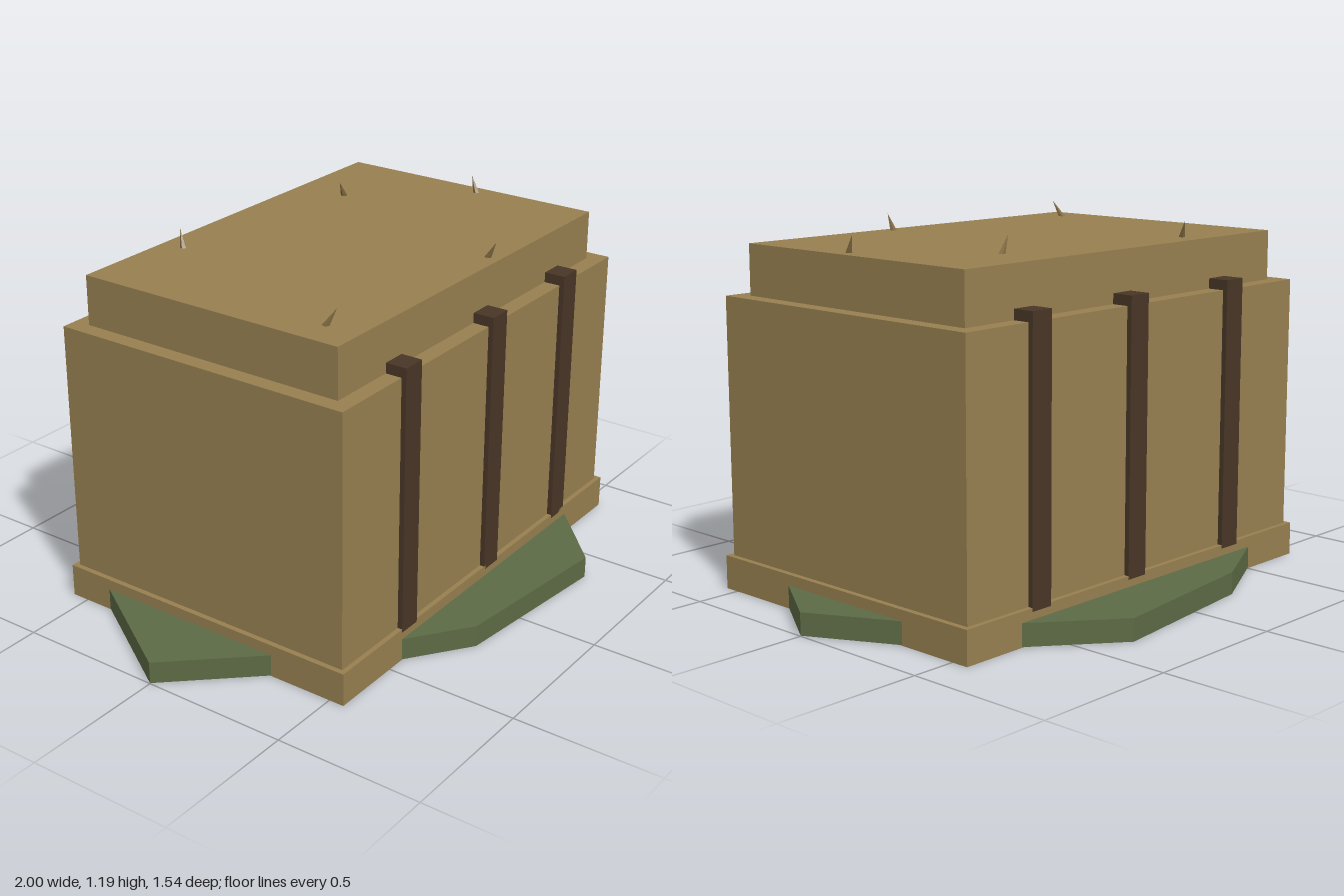
import * as THREE from 'three';

export function createModel() {
  const model = new THREE.Group();
  model.name = 'strappedBlock';

  const mat = (name, color) => {
    const m = new THREE.MeshStandardMaterial({ color });
    m.name = name;
    return m;
  };
  const tan = mat('tan', 0x967f50);
  const darkWood = mat('darkWood', 0x483626);
  const moss = mat('mossGreen', 0x5d6a45);
  const straw = mat('straw', 0x806a42);

  const add = (name, geometry, material) => {
    const mesh = new THREE.Mesh(geometry, material);
    mesh.name = name;
    model.add(mesh);
    return mesh;
  };
  // Box given by its limits on each axis
  const box = (name, material, [x0, x1], [y0, y1], [z0, z1]) =>
    add(name, new THREE.BoxGeometry(x1 - x0, y1 - y0, z1 - z0), material)
      .position.set((x0 + x1) / 2, (y0 + y1) / 2, (z0 + z1) / 2);

  // Stepped block: plinth, body, raised top
  box('plinth', tan, [-0.747, 0.85], [0, 0.112], [-0.56, 0.552]);
  box('body', tan, [-0.729, 0.831], [0.1, 0.968], [-0.543, 0.535]);
  box('top', tan, [-0.674, 0.776], [0.95, 1.135], [-0.486, 0.479]);

  // Upright straps, three in front and three behind
  for (const x of [-0.393, 0.09, 0.533]) {
    box('frontStrap', darkWood, [x - 0.041, x + 0.041], [0.1, 1.002], [0.478, 0.552]);
    box('backStrap', darkWood, [x - 0.041, x + 0.041], [0.1, 1.002], [-0.56, -0.486]);
  }

  // Irregular moss slab spreading out under the block
  const outline = [
    [1, 0], [0.77, -0.44], [0.355, -0.77], [-0.225, -0.7], [-0.71, -0.455],
    [-1, 0], [-0.615, 0.42], [-0.23, 0.7], [0.358, 0.766], [0.74, 0.41],
  ];
  const shape = new THREE.Shape(outline.map(([x, z]) => new THREE.Vector2(x, -z)));
  const slab = new THREE.ExtrudeGeometry(shape, { depth: 0.074, bevelEnabled: false });
  slab.rotateX(-Math.PI / 2);
  add('mossSlab', slab, moss).position.y = 0.002;

  // Small leaning spikes on the top: foot x, z and tip x, z
  const up = new THREE.Vector3(0, 1, 0);
  for (const [x, z, tx, tz] of [
    [-0.566, 0.352, -0.55, 0.386],
    [-0.308, -0.402, -0.29, -0.43],
    [0.435, -0.3, 0.4, -0.296],
    [0.728, 0.06, 0.737, 0.032],
    [0.197, 0.43, 0.194, 0.465],
  ]) {
    const foot = new THREE.Vector3(x, 1.125, z);
    const lean = new THREE.Vector3(tx, 1.19, tz).sub(foot);
    const cone = new THREE.ConeGeometry(0.013, lean.length(), 5).toNonIndexed();
    cone.computeVertexNormals();
    const spike = add('spike', cone, straw);
    spike.position.copy(foot).addScaledVector(lean, 0.5);
    spike.quaternion.setFromUnitVectors(up, lean.clone().normalize());
  }

  return model;
}
